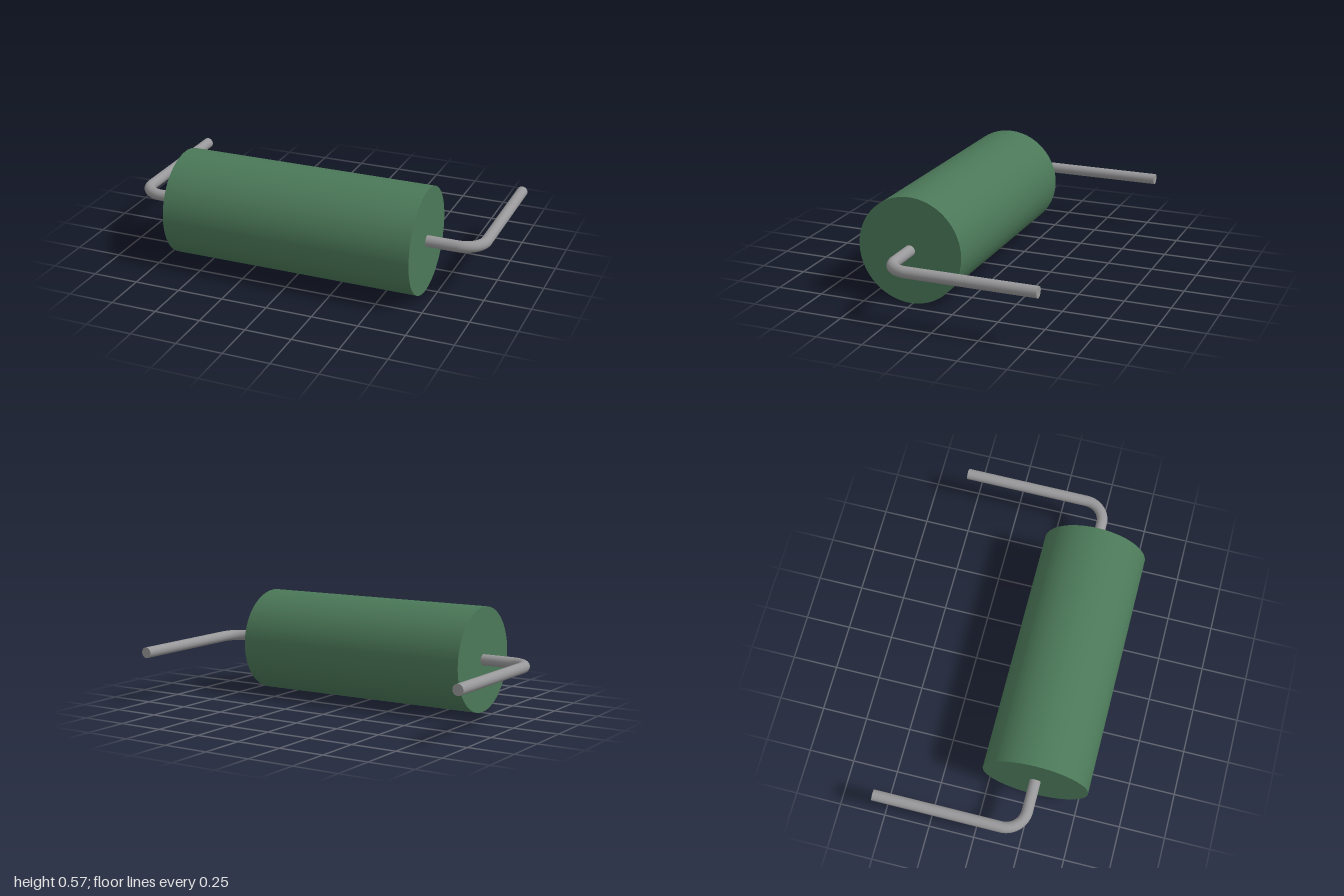
import * as THREE from 'three';

const AXIS_Y = 0.286, AXIS_Z = 0.261; // centre line of the body
const BODY_R = 0.286, BODY_HALF = 0.687;
const WIRE_R = 0.03, BEND_R = 0.115, LEG_X = 0.97, LEG_END = -0.547;

export function createModel() {
  const green = new THREE.MeshStandardMaterial({ color: 0x4b7858 });
  green.name = 'green coating';
  const grey = new THREE.MeshStandardMaterial({ color: 0x98989a });
  grey.name = 'grey metal';

  const model = new THREE.Group();
  model.name = 'axialComponent';

  const add = (parent, name, geometry, material, x, z) => {
    const mesh = new THREE.Mesh(geometry, material);
    mesh.name = name;
    mesh.position.set(x, AXIS_Y, z);
    parent.add(mesh);
  };

  // Cylindrical body lying along x
  const body = new THREE.CylinderGeometry(BODY_R, BODY_R, BODY_HALF * 2, 96).rotateZ(Math.PI / 2);
  add(model, 'body', body, green, 0, AXIS_Z);

  // Wire leads: out of each end, round a bend, then straight back
  const bendX = LEG_X - BEND_R, bendZ = AXIS_Z - BEND_R;
  const stubStart = BODY_HALF - 0.02;
  const stubLength = bendX - stubStart, legLength = bendZ - LEG_END;
  for (const side of [1, -1]) {
    const lead = new THREE.Group();
    lead.name = side > 0 ? 'leftLead' : 'rightLead';
    model.add(lead);

    const stub = new THREE.CylinderGeometry(WIRE_R, WIRE_R, stubLength, 32).rotateZ(Math.PI / 2);
    add(lead, 'leadStub', stub, grey, side * (stubStart + stubLength / 2), AXIS_Z);

    const bend = new THREE.TorusGeometry(BEND_R, WIRE_R, 32, 24, Math.PI / 2);
    if (side < 0) bend.rotateZ(Math.PI / 2);
    bend.rotateX(Math.PI / 2);
    add(lead, 'leadBend', bend, grey, side * bendX, bendZ);

    const leg = new THREE.CylinderGeometry(WIRE_R, WIRE_R, legLength, 32).rotateX(Math.PI / 2);
    add(lead, 'leadLeg', leg, grey, side * LEG_X, (bendZ + LEG_END) / 2);
  }
  return model;
}
